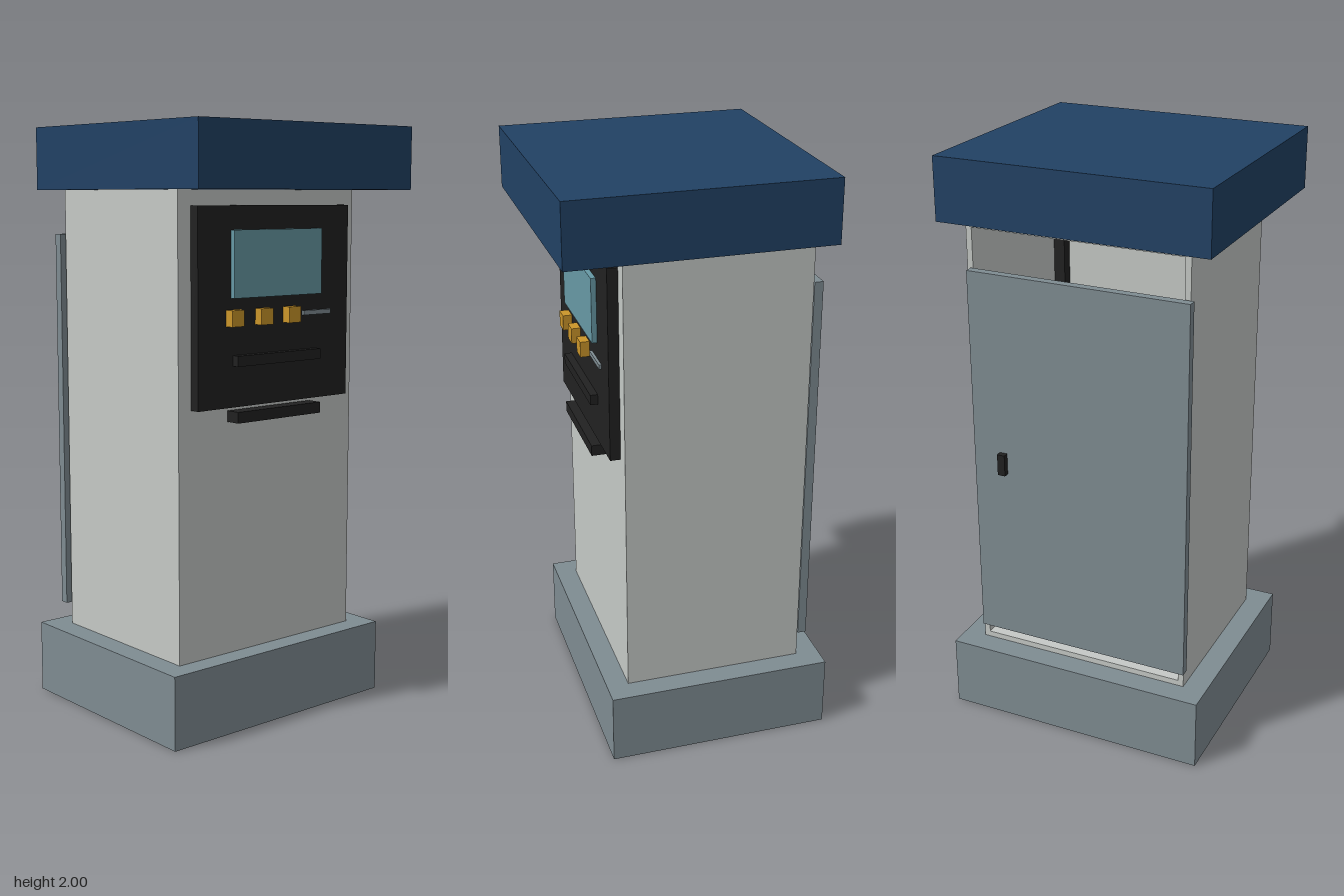
import * as THREE from 'three';

const flat = (name, hex) => {
  const m = new THREE.MeshStandardMaterial({ color: hex });
  m.name = name;
  return m;
};

export function createModel() {
  const model = new THREE.Group();
  model.name = 'paymentKiosk';

  const lightGrey = flat('light grey', 0xc5c9c6);
  const steel = flat('steel grey', 0x7f8c92);
  const blue = flat('navy blue', 0x214164);
  const black = flat('black', 0x212121);
  const glass = flat('screen teal', 0x6799a5);
  const amber = flat('amber', 0xcb962a);

  // Box given by its extents on each axis
  const box = (name, material, [x0, x1], [y0, y1], [z0, z1], parent = model) => {
    const mesh = new THREE.Mesh(new THREE.BoxGeometry(x1 - x0, y1 - y0, z1 - z0), material);
    mesh.position.set((x0 + x1) / 2, (y0 + y1) / 2, (z0 + z1) / 2);
    mesh.name = name;
    parent.add(mesh);
    return mesh;
  };

  // Plinth and roof cap
  box('base', steel, [-0.465, 0.463], [0, 0.25], [-0.45, 0.325]);
  box('roof', blue, [-0.465, 0.463], [1.79, 2], [-0.42, 0.45]);

  // Hollow cabinet: a rectangular tube, open at the back, closed by a front wall
  const cabinet = new THREE.Group();
  cabinet.name = 'cabinet';
  model.add(cabinet);
  const w = 0.385, y0 = 0.25, y1 = 1.79, t = 0.02;
  const rect = (Type, x, a, b) => new Type([
    new THREE.Vector2(-x, a), new THREE.Vector2(x, a),
    new THREE.Vector2(x, b), new THREE.Vector2(-x, b),
  ]);
  const outline = rect(THREE.Shape, w, y0, y1);
  outline.holes.push(rect(THREE.Path, w - t, y0 + t, y1 - t));
  const shell = new THREE.Mesh(
    new THREE.ExtrudeGeometry(outline, { depth: 0.62, bevelEnabled: false }), lightGrey);
  shell.position.z = -0.37;
  shell.name = 'cabinetShell';
  cabinet.add(shell);
  box('frontWall', lightGrey, [-w + t, w - t], [y0 + t, y1 - t], [0.23, 0.25], cabinet);
  box('innerPost', black, [0.325, 0.365], [1.1, 1.74], [0.19, 0.23], cabinet);

  // Service door standing just off the open back
  const door = new THREE.Group();
  door.name = 'serviceDoor';
  model.add(door);
  box('doorPanel', steel, [-0.4, 0.367], [0.325, 1.64], [-0.41, -0.38], door);
  box('doorHandle', black, [0.244, 0.271], [0.945, 1.02], [-0.43, -0.41], door);

  // Control panel on the front
  const panel = new THREE.Group();
  panel.name = 'controlPanel';
  model.add(panel);
  box('panelPlate', black, [-0.333, 0.331], [1.09, 1.74], [0.25, 0.285], panel);
  box('screen', glass, [-0.196, 0.192], [1.445, 1.663], [0.285, 0.302], panel);
  for (const x of [-0.19, -0.065, 0.059]) {
    box('button', amber, [x - 0.026, x + 0.026], [1.355, 1.408], [0.285, 0.316], panel);
  }
  box('cardSlot', steel, [0.12, 0.244], [1.375, 1.39], [0.285, 0.294], panel);
  box('ticketLip', black, [-0.186, 0.183], [1.225, 1.26], [0.285, 0.31], panel);
  box('lowerTray', black, [-0.186, 0.183], [1.04, 1.077], [0.258, 0.31], panel);

  return model;
}
